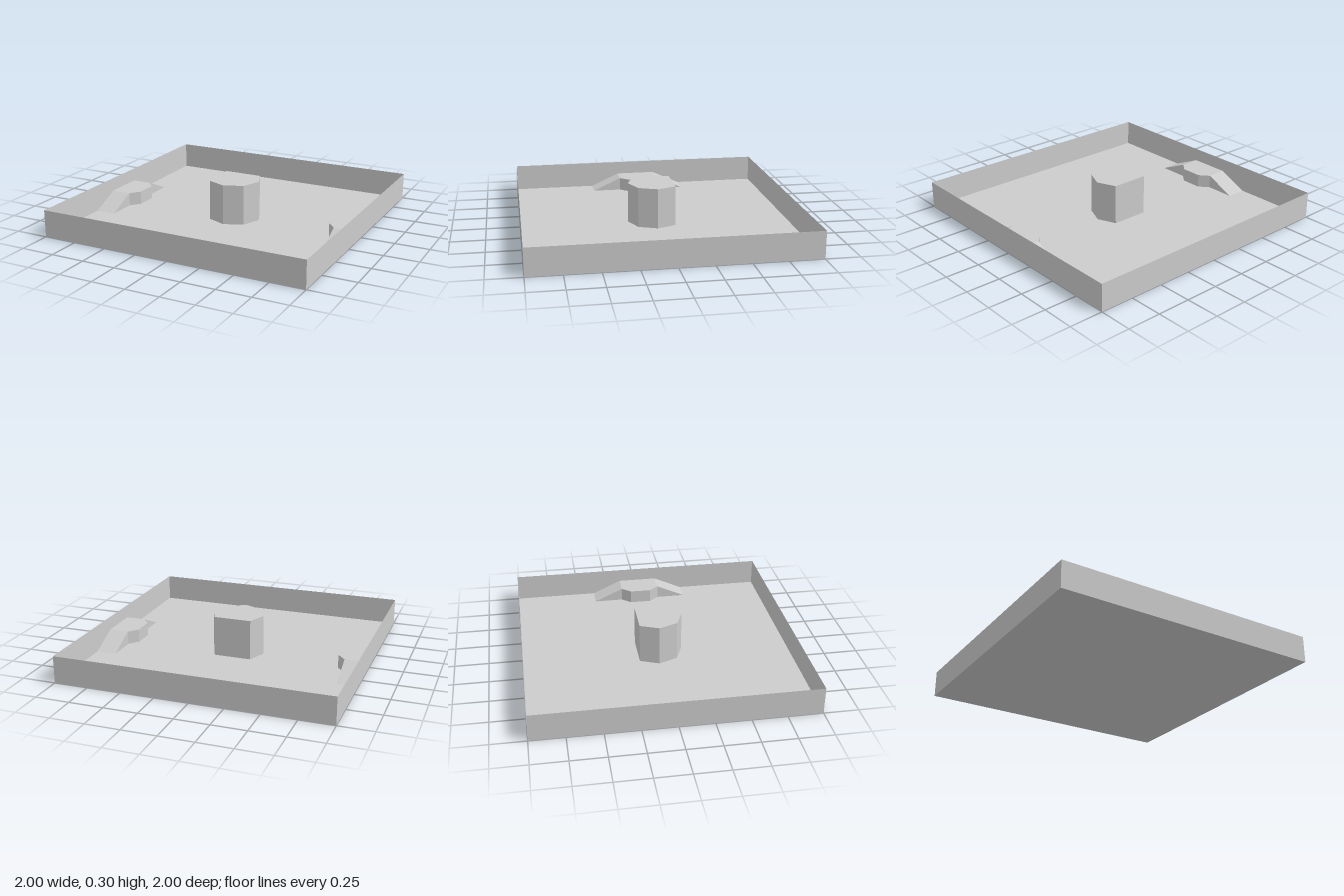
import * as THREE from 'three';

const material = new THREE.MeshStandardMaterial({ color: 0xcccccc, flatShading: true });
const thin = new THREE.MeshStandardMaterial({ color: 0xcccccc, flatShading: true, side: THREE.DoubleSide });

const WALL_H = 0.2;
const RAMP_H = 0.1;

function extrude(points, depth) {
  const shape = new THREE.Shape(points.map(([x, y]) => new THREE.Vector2(x, y)));
  return new THREE.ExtrudeGeometry(shape, { depth, bevelEnabled: false });
}

function addMesh(parent, name, geometry, mat = material) {
  const mesh = new THREE.Mesh(geometry, mat);
  mesh.name = name;
  parent.add(mesh);
  return mesh;
}

// Ramped ledge against the +x wall, with a chamfered bulge towards the middle
function createLedge(name) {
  const ledge = new THREE.Group();
  ledge.name = name;

  const ramp = extrude([[-0.37, 0], [0.37, 0], [0.15, RAMP_H], [-0.15, RAMP_H]], 0.15);
  ramp.rotateY(Math.PI / 2).translate(0.85, 0, 0);
  addMesh(ledge, 'ramp', ramp);

  const bulge = extrude([[0.85, -0.15], [0.85, 0.15], [0.79, 0.08], [0.79, -0.08]], RAMP_H);
  bulge.rotateX(-Math.PI / 2);
  addMesh(ledge, 'bulge', bulge);
  return ledge;
}

export function createModel() {
  const model = new THREE.Group();
  model.name = 'tray';

  // Thin floor and four thin walls
  addMesh(model, 'floor', new THREE.PlaneGeometry(2, 2).rotateX(-Math.PI / 2), thin);
  ['frontWall', 'leftWall', 'backWall', 'rightWall'].forEach((name, i) => {
    const wall = new THREE.PlaneGeometry(2, WALL_H).translate(0, WALL_H / 2, 1);
    addMesh(model, name, wall.rotateY(i * Math.PI / 2), thin);
  });

  // Central post: an octagon with its rear corner cut off
  const corners = [];
  for (let k = 0; k < 8; k++) {
    if (k === 2) continue;
    const a = k * Math.PI / 4;
    corners.push([0.197 * Math.cos(a), 0.197 * Math.sin(a)]);
  }
  addMesh(model, 'post', extrude(corners, 0.3).rotateX(-Math.PI / 2));

  // Matching ledges on both sides
  const left = createLedge('leftLedge');
  const right = createLedge('rightLedge');
  right.rotation.y = Math.PI;
  model.add(left, right);

  return model;
}
